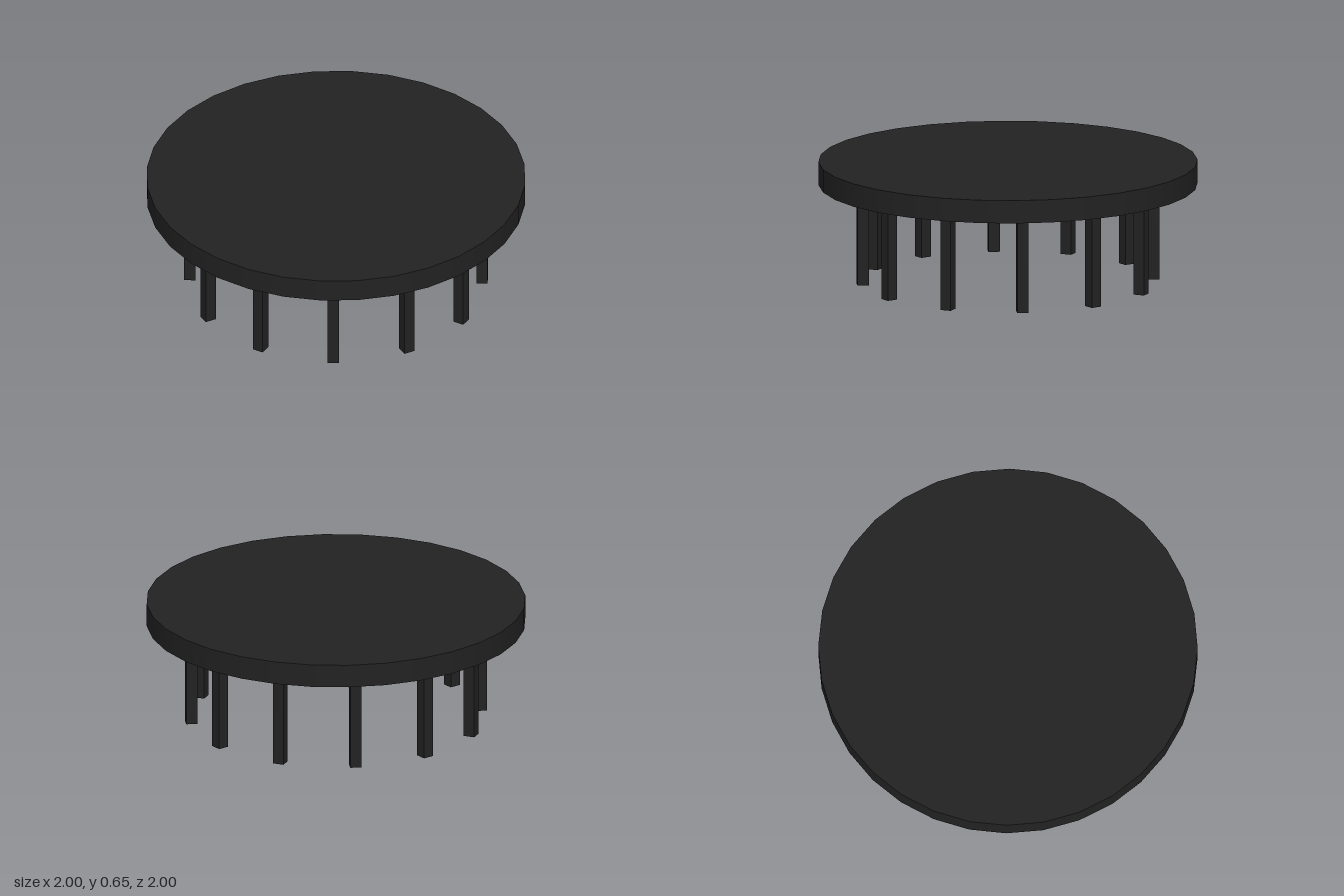
import * as THREE from 'three';

export function createModel() {
  const group = new THREE.Group();
  group.name = 'roundTable';
  const black = new THREE.MeshStandardMaterial({ color: 0x222222 });
  black.name = 'charcoal black';

  const height = 0.65, topThickness = 0.123;
  const legHeight = height - topThickness;

  // Round table top
  const top = new THREE.Mesh(new THREE.CylinderGeometry(1, 1, topThickness, 32), black);
  top.name = 'tableTop';
  top.position.y = height - topThickness / 2;
  group.add(top);

  // Ring of square legs, each turned to face outward
  const legCount = 12, legWidth = 0.06, ringRadius = 0.77;
  const legGeometry = new THREE.BoxGeometry(legWidth, legHeight, legWidth);
  const legs = new THREE.Group();
  legs.name = 'legs';
  for (let i = 0; i < legCount; i++) {
    const angle = (i / legCount) * Math.PI * 2;
    const leg = new THREE.Mesh(legGeometry, black);
    leg.name = `leg${i + 1}`;
    leg.position.set(Math.sin(angle) * ringRadius, legHeight / 2, Math.cos(angle) * ringRadius);
    leg.rotation.y = angle;
    legs.add(leg);
  }
  group.add(legs);

  return group;
}
